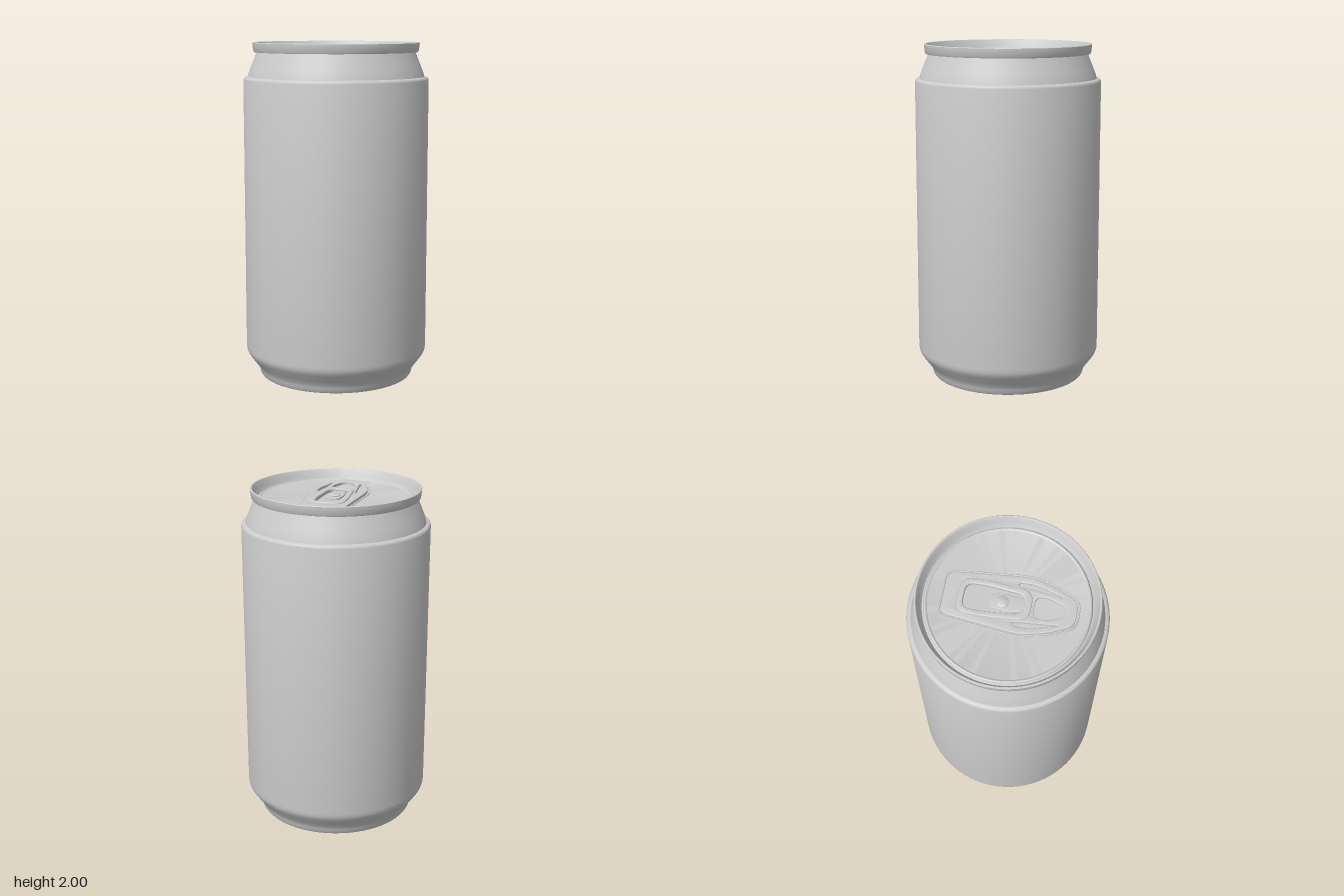
import * as THREE from 'three';
import { toCreasedNormals } from 'three/addons/utils/BufferGeometryUtils.js';

const LID_Y = 1.945;

export function createModel() {
  const can = new THREE.Group();
  can.name = 'drinkCan';
  const grey = new THREE.MeshStandardMaterial({ color: 0xcccccc });

  const add = (name, geometry, x = 0, y = 0, z = 0) => {
    const mesh = new THREE.Mesh(geometry, grey);
    mesh.name = name;
    mesh.position.set(x, y, z);
    can.add(mesh);
    return mesh;
  };
  // Revolved part from [radius, height] pairs, running from bottom/outside to top/inside
  const turned = (name, profile) => add(name, toCreasedNormals(
    new THREE.LatheGeometry(profile.map(([r, y]) => new THREE.Vector2(r, y)), 96), 0.6));

  // Polygon with rounded corners, in plan coordinates (x, z)
  const rounded = (points, radius, Type = THREE.Shape) => {
    const path = new Type();
    const p = points.map(([x, z]) => new THREE.Vector2(x, z));
    p.forEach((corner, i) => {
      const toward = (q) => corner.clone().add(
        q.clone().sub(corner).setLength(Math.min(radius, q.distanceTo(corner) * 0.45)));
      const a = toward(p[(i + p.length - 1) % p.length]);
      const b = toward(p[(i + 1) % p.length]);
      if (i === 0) path.moveTo(a.x, a.y); else path.lineTo(a.x, a.y);
      path.quadraticCurveTo(corner.x, corner.y, b.x, b.y);
    });
    path.closePath();
    return path;
  };
  const mirrored = (half) => [...half, ...half.map(([x, z]) => [-x, z]).reverse()];
  // Plate lying flat with softened edges; top is its upper surface
  const plate = (name, shape, top, depth, bevel) => {
    const geometry = new THREE.ExtrudeGeometry(shape, {
      depth: depth - 2 * bevel, bevelEnabled: true, bevelThickness: bevel,
      bevelSize: bevel, bevelOffset: -bevel, bevelSegments: 3, curveSegments: 8,
    });
    geometry.rotateX(Math.PI / 2);
    return add(name, toCreasedNormals(geometry, 0.6), 0, top - bevel, 0);
  };

  // Domed underside with small stamped rings in the middle
  const base = [[0, 0.14], [0.028, 0.14], [0.032, 0.135], [0.046, 0.135], [0.05, 0.14],
    [0.082, 0.138], [0.086, 0.133], [0.092, 0.137]];
  for (let i = 1; i <= 12; i++) {
    const r = 0.092 + (0.415 - 0.092) * i / 12;
    base.push([r, 0.025 + 0.115 * (1 - (r / 0.415) ** 2)]);
  }
  base.push([0.422, 0.009], [0.432, 0.001], [0.44, 0]);
  turned('base', base);

  // Wall from the foot to the shoulder
  turned('body', [[0.44, 0], [0.454, 0.003], [0.462, 0.013], [0.466, 0.035], [0.475, 0.055],
    [0.495, 0.083], [0.525, 0.123], [0.538, 0.143], [0.544, 0.16], [0.546, 0.18],
    [0.546, 1.783], [0.543, 1.793], [0.535, 1.8], [0.521, 1.802]]);
  turned('neck', [[0.521, 1.8], [0.514, 1.825], [0.498, 1.866], [0.478, 1.915], [0.466, 1.946]]);

  // Seamed rim and its sloping inner wall
  turned('rim', [[0.462, 1.944], [0.482, 1.944], [0.486, 1.952], [0.491, 1.99], [0.491, 1.997],
    [0.488, 2], [0.481, 2], [0.477, 1.996], [0.47, 1.96], [0.452, 1.935]]);

  // Recessed lid with a shallow edge bead
  turned('lid', [[0.454, 1.935], [0.446, 1.937], [0.44, 1.948], [0.434, 1.951], [0.428, 1.949],
    [0.424, LID_Y], [0, LID_Y]]);

  // Pull tab with finger opening, side slots and mouth window
  const tab = rounded(mirrored([[0.12, -0.342], [0.165, 0.09], [0.135, 0.22], [0.07, 0.365]]), 0.05);
  const opening = mirrored([[0.088, -0.255], [0.092, -0.12], [0.072, 0.118]]);
  tab.holes.push(rounded(opening, 0.06, THREE.Path));
  tab.holes.push(rounded(mirrored([[0.055, 0.14], [0.066, 0.2], [0.03, 0.302]]), 0.03, THREE.Path));
  for (const side of [1, -1]) {
    tab.holes.push(rounded([[0.103, 0.035], [0.125, 0.045], [0.125, 0.13], [0.08, 0.285]]
      .map(([x, z]) => [side * x, z]), 0.02, THREE.Path));
  }
  plate('pullTab', tab, LID_Y + 0.016, 0.018, 0.004);

  // Raised curl around the finger opening
  const frame = rounded(mirrored([[0.1, -0.265], [0.104, -0.12], [0.084, 0.125]]), 0.065);
  frame.holes.push(rounded(mirrored([[0.072, -0.235], [0.074, -0.12], [0.055, 0.085]]), 0.05, THREE.Path));
  plate('tabCurl', frame, LID_Y + 0.024, 0.024, 0.006);

  // Tongue and rivet holding the tab
  plate('tabTongue', rounded(mirrored([[0.04, -0.1], [0.05, 0], [0.035, 0.1]]), 0.03),
    LID_Y + 0.009, 0.011, 0.003);
  add('rivet', toCreasedNormals(new THREE.LatheGeometry([[0.034, 0], [0.034, 0.008], [0.026, 0.013],
    [0, 0.015]].map(([r, y]) => new THREE.Vector2(r, y)), 32), 0.6), 0, LID_Y + 0.005, -0.03);

  // Low bead around the tab
  const beadPath = rounded(mirrored([[0.13, -0.35], [0.175, 0.09], [0.145, 0.23], [0.075, 0.375]]), 0.05);
  const beadCurve = new THREE.CatmullRomCurve3(
    beadPath.getSpacedPoints(80).slice(0, -1).map((p) => new THREE.Vector3(p.x, 0, p.y)), true);
  add('lidBead', new THREE.TubeGeometry(beadCurve, 120, 0.005, 8, true), 0, LID_Y, 0);

  // Small stamped dimple beside the mouth
  add('dimple', new THREE.SphereGeometry(0.006, 12, 8), -0.1, LID_Y, 0.3);

  return can;
}
